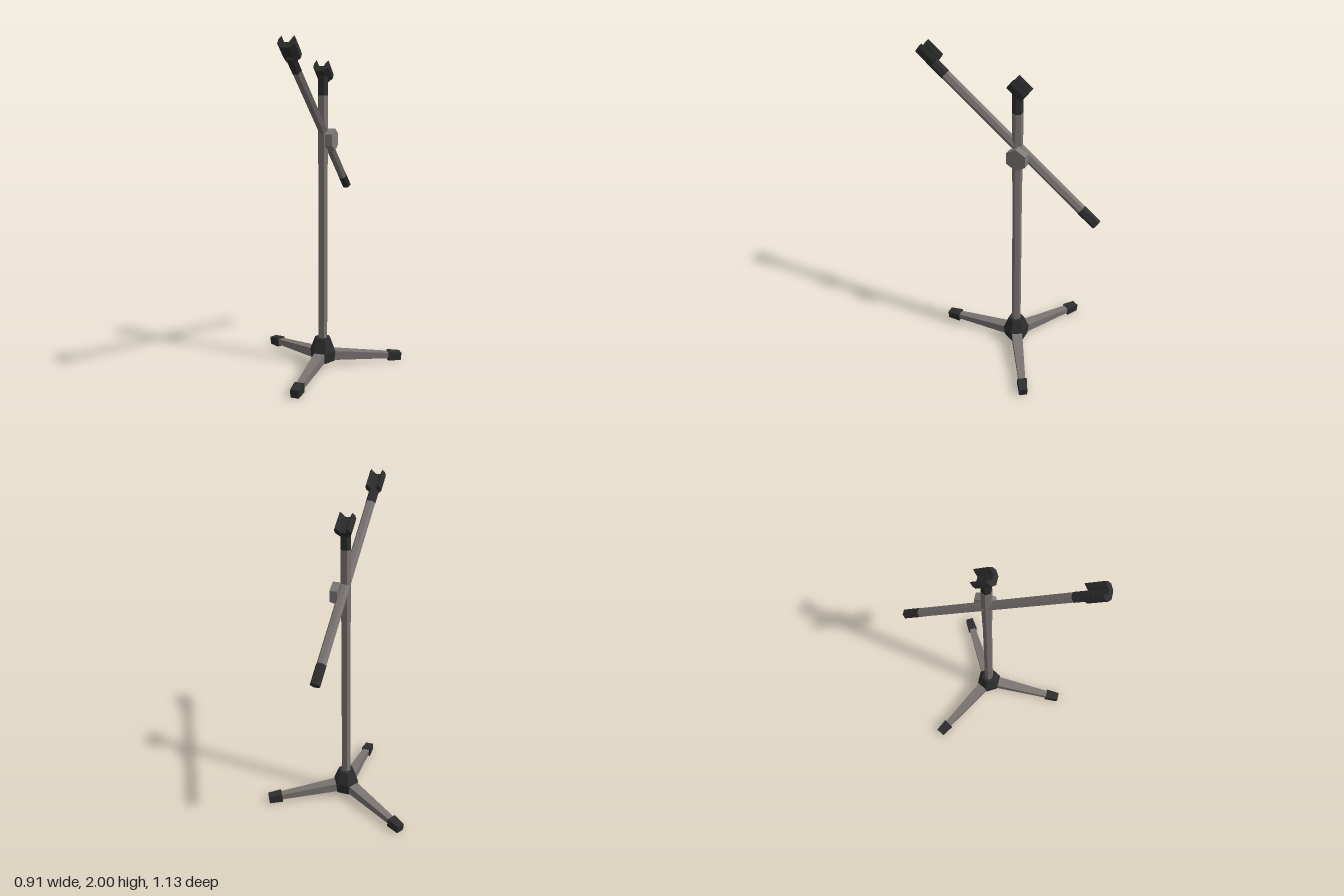
import * as THREE from 'three';

const metal = new THREE.MeshStandardMaterial({ color: 0x7a7472, flatShading: true });
metal.name = 'greyMetal';
const knobGrey = new THREE.MeshStandardMaterial({ color: 0x7e7c7a, flatShading: true });
knobGrey.name = 'knobGrey';
const rubber = new THREE.MeshStandardMaterial({ color: 0x2d2d2d, flatShading: true });
rubber.name = 'blackRubber';

const POLE_Z = -0.05;
const TILT = THREE.MathUtils.degToRad(38);
const UP = new THREE.Vector3(0, 1, 0);

function add(parent, name, geometry, material) {
  const mesh = new THREE.Mesh(geometry, material);
  mesh.name = name;
  parent.add(mesh);
  return mesh;
}

// Straight bar between two points in the YZ plane; hexagonal, or square when sides is 4
function bar(parent, name, material, [y0, z0], [y1, z1], r0, r1, sides = 6, flatten = 1) {
  const a = new THREE.Vector3(0, y0, z0);
  const b = new THREE.Vector3(0, y1, z1);
  const geo = new THREE.CylinderGeometry(r1, r0, a.distanceTo(b), sides);
  geo.rotateY(Math.PI / sides).scale(1, 1, flatten);
  const mesh = add(parent, name, geo, material);
  mesh.position.copy(a).add(b).multiplyScalar(0.5);
  mesh.quaternion.setFromUnitVectors(UP, b.sub(a).normalize());
  return mesh;
}

// Open cradle: a C-shaped section extruded along the boom direction
function cradle(parent, name, y, z, length) {
  const half = [[0.024, 0], [0.047, 0.027], [0.047, 0.054], [0.036, 0.079], [0.022, 0.054], [0.016, 0.036]];
  const left = half.map(([u, v]) => new THREE.Vector2(u, v));
  const right = half.map(([u, v]) => new THREE.Vector2(-u, v)).reverse();
  const geo = new THREE.ExtrudeGeometry(new THREE.Shape([...left, ...right]), { depth: length, bevelEnabled: false });
  const mesh = add(parent, name, geo, rubber);
  mesh.position.set(0, y, z);
  mesh.rotation.x = -TILT;
}

export function createModel() {
  const model = new THREE.Group();
  model.name = 'boomStand';

  // Upright pole, wider upper sleeve and its top
  bar(model, 'pole', metal, [0.1, POLE_Z], [1.3, POLE_Z], 0.029, 0.028);
  bar(model, 'upperSleeve', metal, [1.25, POLE_Z], [1.69, POLE_Z], 0.03, 0.032);
  bar(model, 'poleCap', rubber, [1.69, POLE_Z], [1.81, POLE_Z], 0.031, 0.031);
  cradle(model, 'poleCradle', 1.768, -0.075, 0.105);

  // Tilted boom, measured by z along its centre line
  const onBoom = (z) => [1.093 + (z + 0.547) * Math.tan(TILT), z];
  bar(model, 'boom', metal, onBoom(-0.46), onBoom(0.4), 0.029, 0.029);
  bar(model, 'boomGrip', rubber, onBoom(-0.547), onBoom(-0.45), 0.0305, 0.0305);
  bar(model, 'boomTip', rubber, onBoom(0.395), onBoom(0.49), 0.0305, 0.0305);
  cradle(model, 'boomCradle', 1.869, 0.473, 0.115);

  // Clamp knob on the left side
  const knob = new THREE.CylinderGeometry(0.067, 0.067, 0.045, 6);
  knob.rotateY(Math.PI / 6).rotateZ(Math.PI / 2);
  add(model, 'clampKnob', knob, knobGrey).position.set(0.0475, 1.43, -0.07);

  // Base hub
  bar(model, 'hubLower', rubber, [0.04, POLE_Z], [0.105, POLE_Z], 0.076, 0.083);
  bar(model, 'hubUpper', rubber, [0.105, POLE_Z], [0.19, POLE_Z], 0.083, 0.05);

  // Three tapered legs with rubber feet
  for (let i = 0; i < 3; i++) {
    const leg = new THREE.Group();
    leg.name = ['frontLeg', 'backLeftLeg', 'backRightLeg'][i];
    leg.position.z = POLE_Z;
    leg.rotation.y = (i * Math.PI * 2) / 3;
    bar(leg, 'legTube', metal, [0.077, 0.03], [0.038, 0.44], 0.05, 0.029, 4, 0.86);
    bar(leg, 'foot', rubber, [0.037, 0.425], [0.029, 0.51], 0.042, 0.036, 4, 0.95);
    model.add(leg);
  }
  return model;
}
